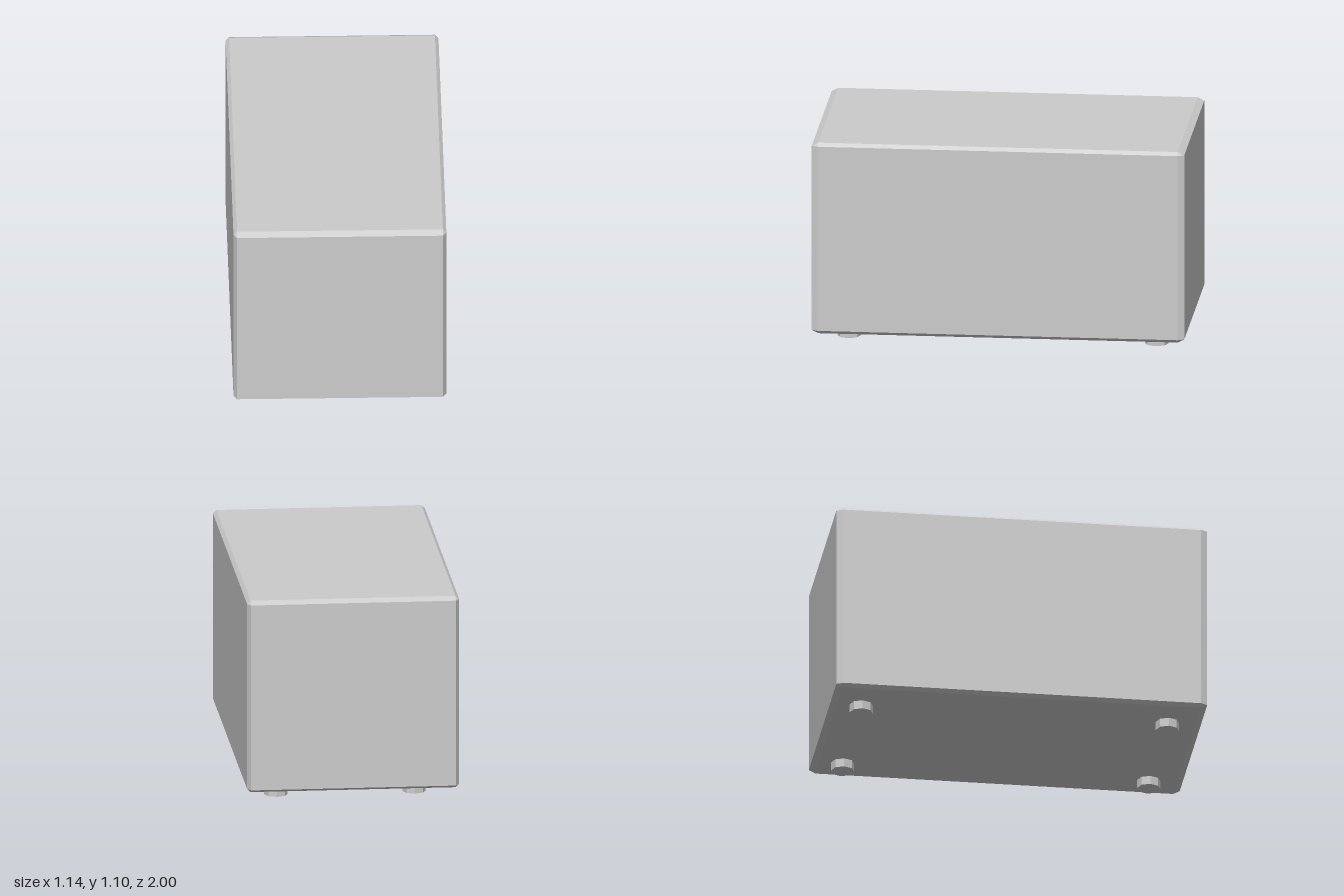
import * as THREE from 'three';
import { ConvexGeometry } from 'three/addons/geometries/ConvexGeometry.js';

// Box with every edge and corner cut; half = half size, cut = bevel inset per axis
function chamferedBox(half, cut) {
  const points = [];
  for (const sx of [-1, 1]) for (const sy of [-1, 1]) for (const sz of [-1, 1]) {
    for (let axis = 0; axis < 3; axis++) {
      const [x, y, z] = half.map((h, i) => (i === axis ? h : h - cut[i]));
      points.push(new THREE.Vector3(sx * x, sy * y, sz * z));
    }
  }
  return new ConvexGeometry(points);
}

export function createModel() {
  const group = new THREE.Group();
  const material = new THREE.MeshStandardMaterial({ color: 0xcccccc, flatShading: true });
  const bottom = 0.047, top = 1.104;

  // Casing
  const casing = new THREE.Mesh(
    chamferedBox([0.569, (top - bottom) / 2, 1], [0.019, 0.018, 0.035]), material);
  casing.name = 'casing';
  casing.position.y = (top + bottom) / 2;
  group.add(casing);

  // Four octagonal feet, set slightly off centre
  const footGeometry = new THREE.CylinderGeometry(0.063, 0.063, bottom, 8);
  for (const x of [-0.339, 0.402]) for (const z of [-0.838, 0.813]) {
    const foot = new THREE.Mesh(footGeometry, material);
    foot.name = `${z > 0 ? 'front' : 'back'}${x > 0 ? 'Left' : 'Right'}Foot`;
    foot.position.set(x, bottom / 2, z);
    group.add(foot);
  }
  return group;
}
